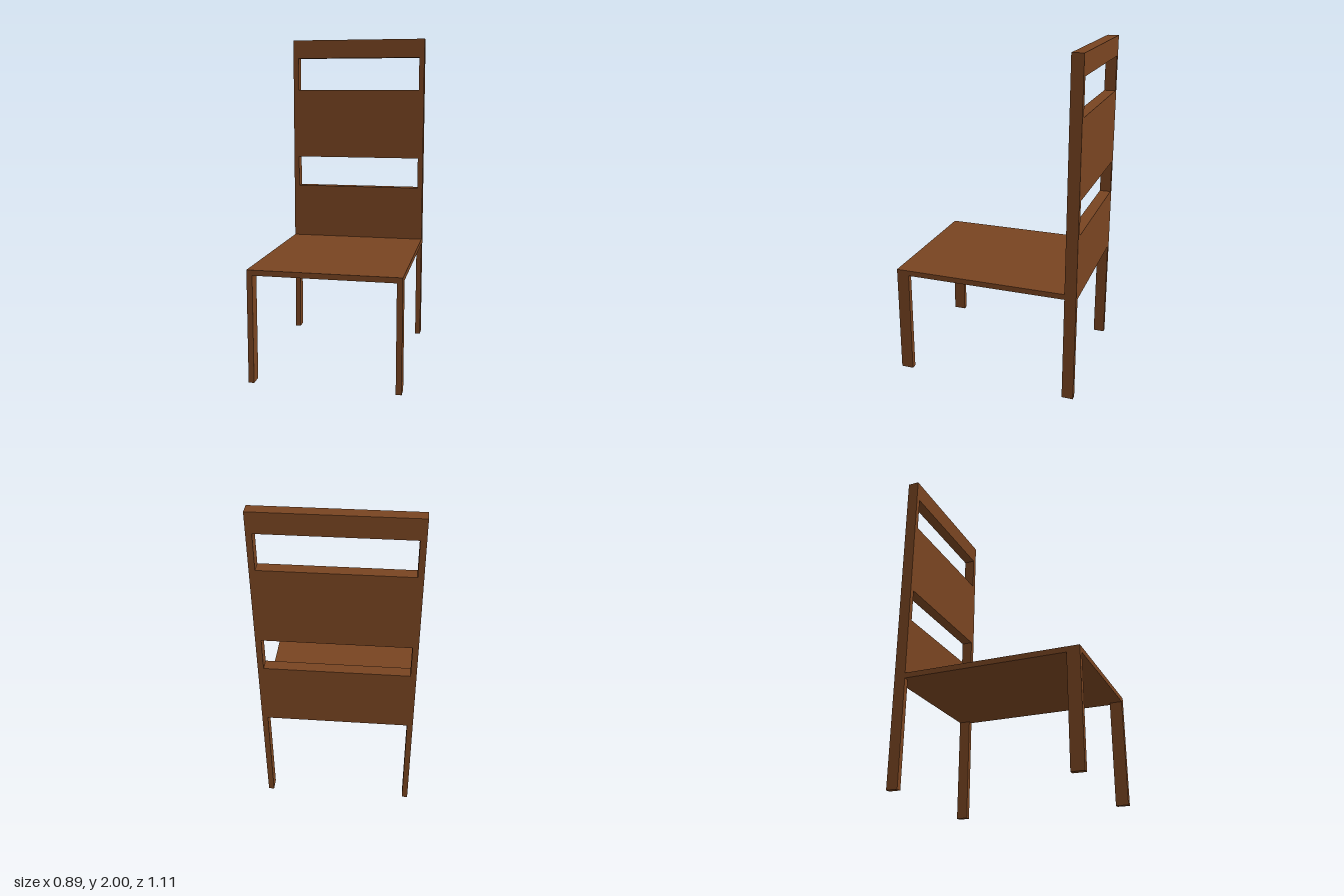
import * as THREE from 'three';

const HALF_W = 0.443;   // half width of the chair
const INNER = 0.41;     // inner face of the legs and posts
const SEAT_LOW = 0.635, SEAT_TOP = 0.667;
const FRONT = 0.555, BACK = -0.555, BACK_FACE = -0.487;

export function createModel() {
  const chair = new THREE.Group();
  chair.name = 'chair';
  const wood = new THREE.MeshStandardMaterial({ color: 0x784421 });
  wood.name = 'brown wood';

  const add = (name, geometry) => {
    const mesh = new THREE.Mesh(geometry, wood);
    mesh.name = name;
    chair.add(mesh);
    return mesh;
  };

  // Box given by its limits on each axis
  const box = (name, x0, x1, y0, y1, z0, z1) =>
    add(name, new THREE.BoxGeometry(x1 - x0, y1 - y0, z1 - z0))
      .position.set((x0 + x1) / 2, (y0 + y1) / 2, (z0 + z1) / 2);

  // Backrest and rear legs: one upright frame with two slots
  const frame = new THREE.Shape([
    [-HALF_W, 0], [-INNER, 0], [-INNER, SEAT_LOW], [INNER, SEAT_LOW],
    [INNER, 0], [HALF_W, 0], [HALF_W, 2], [-HALF_W, 2],
  ].map(([x, y]) => new THREE.Vector2(x, y)));
  for (const [low, high] of [[1.016, 1.216], [1.668, 1.88]]) {
    frame.holes.push(new THREE.Path([
      [-INNER, low], [-INNER, high], [INNER, high], [INNER, low],
    ].map(([x, y]) => new THREE.Vector2(x, y))));
  }
  add('backrestAndRearLegs', new THREE.ExtrudeGeometry(frame, {
    depth: BACK_FACE - BACK, bevelEnabled: false,
  })).position.z = BACK;

  // Seat board
  box('seat', -HALF_W, HALF_W, SEAT_LOW, SEAT_TOP, BACK_FACE, FRONT);

  // Front legs
  box('leftFrontLeg', INNER, HALF_W, 0, SEAT_LOW, 0.48, FRONT);
  box('rightFrontLeg', -HALF_W, -INNER, 0, SEAT_LOW, 0.48, FRONT);

  return chair;
}
